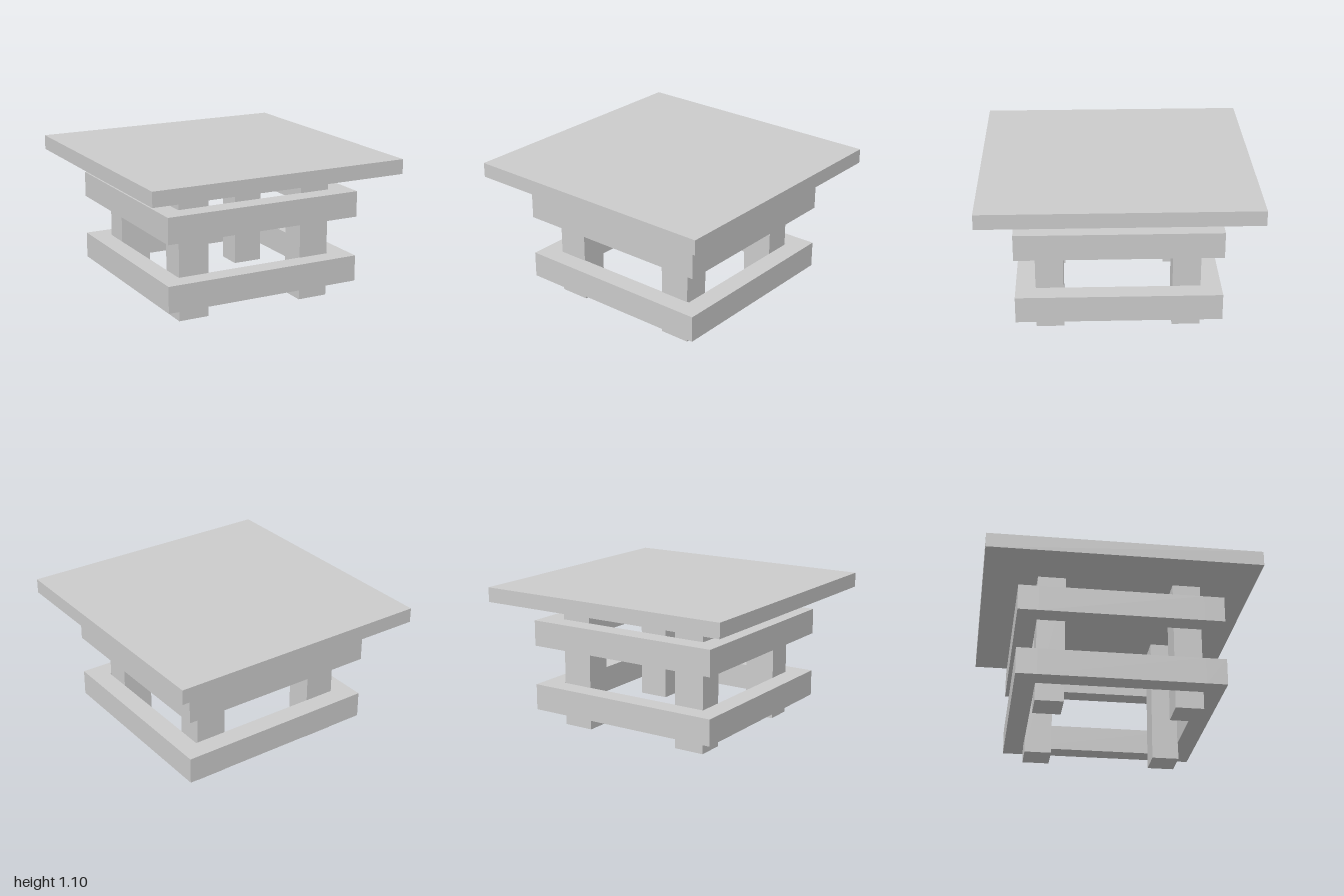
import * as THREE from 'three';

const material = new THREE.MeshStandardMaterial({ color: 0xcccccc, flatShading: true });

// Box given by its limits on each axis
function block(name, [x0, x1], [y0, y1], [z0, z1]) {
  const mesh = new THREE.Mesh(new THREE.BoxGeometry(x1 - x0, y1 - y0, z1 - z0), material);
  mesh.position.set((x0 + x1) / 2, (y0 + y1) / 2, (z0 + z1) / 2);
  mesh.name = name;
  return mesh;
}

// Square ring of four rails around the legs
function railFrame(name, y) {
  const frame = new THREE.Group();
  frame.name = name;
  const x0 = -0.77, x1 = 0.78, z = 0.75, t = 0.15;
  frame.add(
    block('frontRail', [x0, x1], y, [z - t, z]),
    block('backRail', [x0, x1], y, [-z, t - z]),
    block('leftRail', [x1 - t, x1], y, [t - z, z - t]),
    block('rightRail', [x0, x0 + t], y, [t - z, z - t])
  );
  return frame;
}

export function createModel() {
  const table = new THREE.Group();
  table.name = 'table';

  // Table top
  table.add(block('tableTop', [-1, 1], [0.985, 1.095], [-1, 1]));

  // Four legs
  for (const [sideX, x] of [['Left', 0.5], ['Right', -0.5]]) {
    for (const [sideZ, z] of [['front', 0.502], ['back', -0.498]]) {
      table.add(block(`${sideZ}${sideX}Leg`, [x - 0.118, x + 0.118], [0, 0.985], [z - 0.103, z + 0.103]));
    }
  }

  // Upper and lower rail frames
  table.add(railFrame('upperFrame', [0.63, 0.825]), railFrame('lowerFrame', [0.13, 0.328]));
  return table;
}
